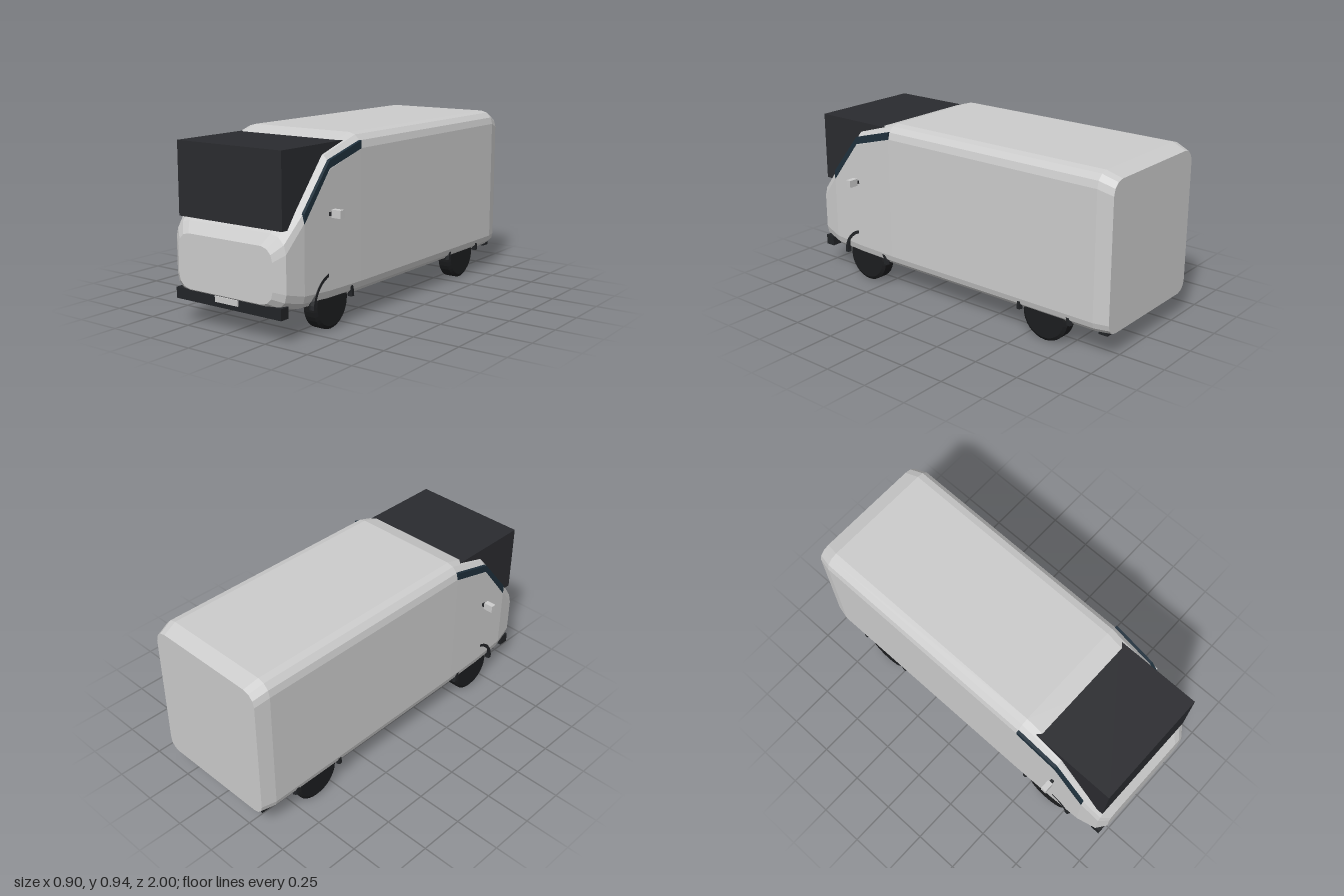
import * as THREE from 'three';

const mat = (color, extra = {}) => new THREE.MeshStandardMaterial({ color, flatShading: true, ...extra });

// Rounded-rectangle cross-section, counter-clockwise seen from the front
function section([z, hw, bottom, top, rb, rt]) {
  const pts = [];
  const corners = [[1, 1, rt], [-1, 1, rt], [-1, -1, rb], [1, -1, rb]];
  corners.forEach(([sx, sy, r], c) => {
    const cx = sx * (hw - r), cy = sy > 0 ? top - r : bottom + r;
    for (let k = 0; k <= 3; k++) {
      const a = (c + k / 3) * Math.PI / 2;
      pts.push([cx + r * Math.cos(a), cy + r * Math.sin(a), z]);
    }
  });
  return pts;
}

// Skin over the cross-sections, closed at both ends
function loft(sections) {
  const rings = sections.map(section), n = rings[0].length, pos = [];
  const tri = (...p) => p.forEach((v) => pos.push(...v));
  for (let s = 0; s < rings.length - 1; s++) {
    const a = rings[s], b = rings[s + 1];
    for (let i = 0; i < n; i++) {
      const j = (i + 1) % n;
      tri(a[i], a[j], b[i]);
      tri(a[j], b[j], b[i]);
    }
  }
  const back = rings[0], front = rings[rings.length - 1];
  for (let i = 1; i < n - 1; i++) {
    tri(front[0], front[i], front[i + 1]);
    tri(back[0], back[i + 1], back[i]);
  }
  const g = new THREE.BufferGeometry();
  g.setAttribute('position', new THREE.Float32BufferAttribute(pos, 3));
  g.computeVertexNormals();
  return g;
}

export function createModel() {
  const van = new THREE.Group();
  const grey = mat(0xcccccc), dark = mat(0x222427), rubber = mat(0x1c1d1f);
  const screen = mat(0x2a2b2f), glass = mat(0x1f303c);

  const add = (name, geo, material, x = 0, y = 0, z = 0) => {
    const m = new THREE.Mesh(geo, material);
    m.name = name;
    m.position.set(x, y, z);
    van.add(m);
    return m;
  };
  // Box given by its limits on each axis
  const box = (name, material, x0, x1, y0, y1, z0, z1) =>
    add(name, new THREE.BoxGeometry(x1 - x0, y1 - y0, z1 - z0), material,
      (x0 + x1) / 2, (y0 + y1) / 2, (z0 + z1) / 2);

  // Body shell: z, half width, bottom, top, lower radius, upper radius
  add('body', loft([
    [-1.0, 0.36, 0.135, 0.915, 0.06, 0.07],
    [-0.92, 0.38, 0.135, 0.945, 0.06, 0.075],
    [0.41, 0.378, 0.135, 0.945, 0.065, 0.075],
    [0.66, 0.375, 0.135, 0.87, 0.07, 0.075],
    [0.85, 0.37, 0.142, 0.645, 0.075, 0.08],
    [0.96, 0.35, 0.165, 0.525, 0.08, 0.09],
    [1.0, 0.30, 0.19, 0.47, 0.07, 0.07],
  ]), grey);

  // Windscreen block
  box('windscreen', screen, -0.328, 0.328, 0.54, 0.915, 0.47, 0.96);

  // Bumpers and number plate
  box('frontBumper', dark, -0.337, 0.337, 0.125, 0.182, 0.93, 0.985);
  box('rearBumper', dark, -0.337, 0.337, 0.125, 0.17, -0.98, -0.93);
  box('frontPlate', grey, -0.074, 0.074, 0.15, 0.18, 0.98, 0.99);

  // Tyre profile with bevelled shoulders, turned about its axle
  const tyre = new THREE.LatheGeometry([
    [0, -0.041], [0.118, -0.041], [0.135, -0.03], [0.135, 0.03], [0.118, 0.041], [0, 0.041],
  ].map(([r, h]) => new THREE.Vector2(r, h)), 32).rotateZ(Math.PI / 2);
  const arch = new THREE.TorusGeometry(0.155, 0.017, 6, 24, Math.PI).rotateY(Math.PI / 2);

  // Side window strip, drawn in the z-y plane
  const strip = new THREE.Shape([
    [0.41, 0.91], [0.66, 0.84], [0.85, 0.61], [0.85, 0.56], [0.66, 0.80], [0.41, 0.87],
  ].map(([z, y]) => new THREE.Vector2(-z, y)));

  for (const side of [1, -1]) {
    const name = side > 0 ? 'left' : 'right';
    for (const [end, z] of [['Front', 0.625], ['Rear', -0.62]]) {
      add(`${name}${end}Wheel`, tyre, rubber, side * 0.32, 0.137, z);
      add(`${name}${end}Arch`, arch, dark, side * 0.36, 0.135, z);
    }

    // Strip leans inwards towards the nose, following the body
    const win = new THREE.ExtrudeGeometry(strip, { depth: 0.016, bevelEnabled: false }).rotateY(Math.PI / 2);
    const p = win.attributes.position;
    for (let i = 0; i < p.count; i++) {
      const lean = 0.365 - 0.01 * (p.getZ(i) - 0.41) / 0.44;
      const across = p.getX(i);
      p.setX(i, side > 0 ? across + lean : across - 0.016 - lean);
    }
    win.computeVertexNormals();
    add(`${name}SideWindow`, win, glass);

    // Door mirror on a short arm
    add(`${name}MirrorArm`, new THREE.BoxGeometry(0.04, 0.017, 0.018), dark, side * 0.381, 0.583, 0.66);
    add(`${name}Mirror`, new THREE.BoxGeometry(0.055, 0.04, 0.03), grey, side * 0.422, 0.588, 0.66);
  }
  return van;
}
